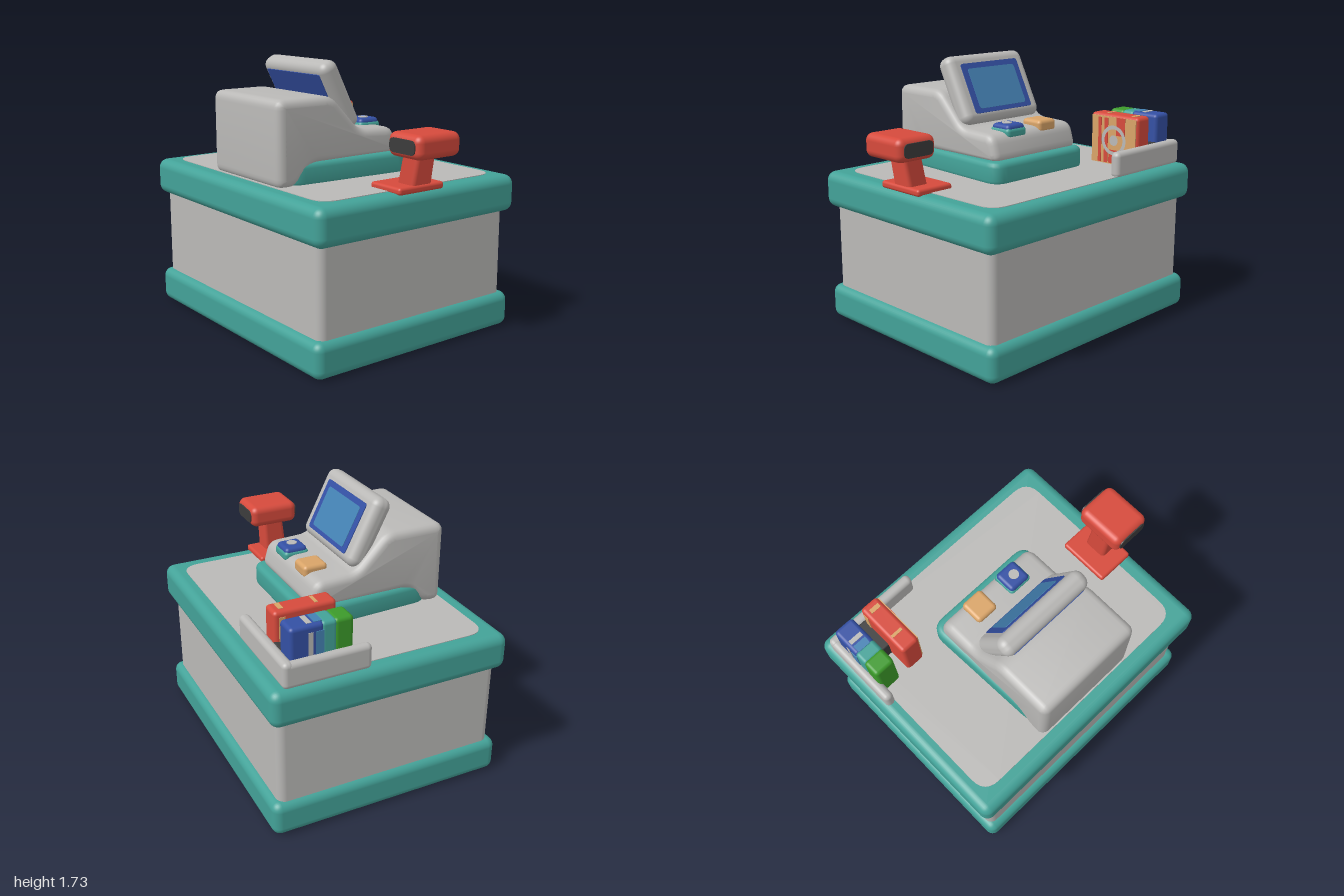
import * as THREE from 'three';
import { toCreasedNormals } from 'three/addons/utils/BufferGeometryUtils.js';
import { RoundedBoxGeometry } from 'three/addons/geometries/RoundedBoxGeometry.js';

const paint = (name, color) => {
  const m = new THREE.MeshStandardMaterial({ color });
  m.name = name;
  return m;
};

export function createModel() {
  const teal = paint('teal', 0x43a298);
  const grey = paint('grey', 0xbab9b7);
  const red = paint('red', 0xd64a3c);
  const green = paint('green', 0x3c9a2a);
  const navy = paint('navy', 0x3450a4);
  const sky = paint('sky blue', 0x4482b4);
  const tan = paint('tan', 0xd9a468);
  const dark = paint('charcoal', 0x3c3c3c);

  const model = new THREE.Group();
  model.name = 'checkoutCounter';

  const group = (name) => {
    const g = new THREE.Group();
    g.name = name;
    model.add(g);
    return g;
  };
  const add = (parent, name, geo, mat, pos = [0, 0, 0]) => {
    const m = new THREE.Mesh(geo, mat);
    m.name = name;
    m.position.set(...pos);
    parent.add(m);
    return m;
  };
  // Rounded block given by its extents on each axis
  const block = (parent, name, mat, [x0, x1], [y0, y1], [z0, z1], r) =>
    add(parent, name, new RoundedBoxGeometry(x1 - x0, y1 - y0, z1 - z0, 4, r), mat,
      [(x0 + x1) / 2, (y0 + y1) / 2, (z0 + z1) / 2]);

  // Polygon with every corner rounded by r
  const roundedShape = (pts, r) => {
    const s = new THREE.Shape();
    const v = pts.map((p) => new THREE.Vector2(...p));
    v.forEach((p, i) => {
      const toward = (q) => {
        const d = q.clone().sub(p);
        return p.clone().add(d.setLength(Math.min(r, d.length() * 0.45)));
      };
      const a = toward(v[(i + v.length - 1) % v.length]);
      const b = toward(v[(i + 1) % v.length]);
      if (i === 0) s.moveTo(a.x, a.y); else s.lineTo(a.x, a.y);
      s.quadraticCurveTo(p.x, p.y, b.x, b.y);
    });
    s.closePath();
    return s;
  };
  // Extrusion centred on its depth; the bevel stays inside the outline
  const slab = (shape, depth, bevel = 0) => {
    const geo = new THREE.ExtrudeGeometry(shape, {
      depth: depth - 2 * bevel, curveSegments: 6, bevelEnabled: bevel > 0,
      bevelThickness: bevel, bevelSize: bevel, bevelOffset: -bevel, bevelSegments: 4,
    });
    geo.translate(0, 0, bevel - depth / 2);
    return toCreasedNormals(geo, 0.75);
  };
  const rect = (w, h, r) => roundedShape(
    [[-w / 2, -h / 2], [w / 2, -h / 2], [w / 2, h / 2], [-w / 2, h / 2]], r);

  // Counter
  const counter = group('counter');
  block(counter, 'plinth', teal, [-0.98, 0.865], [0, 0.225], [-0.77, 0.775], 0.055);
  block(counter, 'cabinet', grey, [-0.945, 0.825], [0.15, 0.85], [-0.725, 0.73], 0.05);
  block(counter, 'worktop', teal, [-1, 0.88], [0.765, 1], [-0.775, 0.775], 0.06);
  add(counter, 'worktopInset', slab(rect(1.67, 1.345, 0.12), 0.008).rotateX(-Math.PI / 2), grey,
    [-0.07, 1, -0.0075]);

  // Register foot, tapering toward the front
  const register = group('register');
  const foot = roundedShape([[-0.40, -0.57], [0.333, -0.57], [0.385, 0.315], [-0.44, 0.315]], 0.1);
  add(register, 'registerFoot', slab(foot, 0.15, 0.035).rotateX(-Math.PI / 2), teal, [0, 1.06, 0]);

  // Register shell: side profile as [z, y]
  const profile = roundedShape([
    [0.66, 0.99], [0.66, 1.52], [0.26, 1.52], [0.05, 1.3],
    [-0.22, 1.29], [-0.27, 1.12], [0.42, 1.12], [0.54, 0.99],
  ], 0.06);
  add(register, 'registerShell', slab(profile, 0.75, 0.05).rotateY(-Math.PI / 2), grey, [-0.035, 0, 0]);

  // Tilted screen
  const screen = new THREE.Group();
  screen.name = 'screen';
  screen.position.set(-0.0275, 1.511, 0.168);
  screen.rotation.x = 0.464;
  register.add(screen);
  add(screen, 'screenCase', new RoundedBoxGeometry(0.665, 0.46, 0.13, 5, 0.055), grey);
  add(screen, 'screenBorder', slab(rect(0.5, 0.335, 0.02), 0.008), navy, [0, -0.01, -0.066]);
  add(screen, 'screenGlass', slab(rect(0.41, 0.27, 0.02), 0.008), sky, [0, -0.015, -0.069]);
  add(screen, 'screenRearPanel', slab(rect(0.56, 0.3, 0.01), 0.008), navy, [0, 0.027, 0.066]);

  // Keys
  block(register, 'tanKey', tan, [-0.245, -0.09], [1.25, 1.33], [-0.225, -0.065], 0.025);
  block(register, 'blueKeyRim', teal, [0.028, 0.197], [1.25, 1.315], [-0.228, -0.062], 0.025);
  block(register, 'blueKey', navy, [0.036, 0.189], [1.25, 1.335], [-0.22, -0.07], 0.025);
  add(register, 'keyDot', new THREE.CylinderGeometry(0.033, 0.033, 0.008, 20), grey, [0.122, 1.335, -0.142]);

  // Scanner
  const scanner = group('scanner');
  block(scanner, 'scannerBase', red, [0.6, 0.865], [0.99, 1.035], [-0.16, 0.19], 0.018);
  const stem = new RoundedBoxGeometry(0.14, 0.26, 0.15, 4, 0.025);
  const p = stem.attributes.position;
  for (let i = 0; i < p.count; i++) {
    p.setX(i, p.getX(i) + p.getY(i) * 0.2);
    p.setZ(i, p.getZ(i) * (1 - p.getY(i) * 0.5));
  }
  add(scanner, 'scannerStem', stem, red, [0.802, 1.12, 0.005]);
  block(scanner, 'scannerHead', red, [0.72, 1], [1.205, 1.35], [-0.165, 0.17], 0.045);
  for (const z of [-0.166, 0.171])
    add(scanner, 'scannerWindow', slab(rect(0.215, 0.085, 0.035), 0.009), dark, [0.858, 1.277, z]);

  // Corner rack
  const rack = group('rack');
  block(rack, 'rackBackRail', grey, [-0.965, -0.31], [0.99, 1.155], [-0.69, -0.622], 0.03);
  block(rack, 'rackSideRail', grey, [-0.965, -0.9], [0.99, 1.15], [-0.69, -0.14], 0.03);
  block(rack, 'rackDivider', dark, [-0.8, -0.69], [0.99, 1.15], [-0.63, -0.4], 0.01);

  // Striped packet: bands along its length
  const packetA = group('blueGreenPacket');
  const bands = [[green, -0.36, -0.24], [teal, -0.44, -0.34], [navy, -0.63, -0.42]];
  for (const [mat, z0, z1] of bands)
    block(packetA, 'packetBand', mat, [-0.92, -0.778], [0.99, 1.335], [z0, z1], 0.025);
  for (const [mat, z, d] of [[sky, -0.45, 0.05], [grey, -0.505, 0.03]]) {
    add(packetA, 'packetTopPatch', new THREE.BoxGeometry(0.09, 0.006, d), mat, [-0.85, 1.335, z]);
    add(packetA, 'packetSidePatch', new THREE.BoxGeometry(0.006, 0.2, d), mat, [-0.92, 1.19, z]);
  }

  // Red packet with tan panels and a ring on the outer side
  const packetB = group('redPacket');
  block(packetB, 'packetBody', red, [-0.71, -0.58], [0.99, 1.335], [-0.63, -0.24], 0.025);
  const sidePlate = (name, mat, x, z0, z1, y0, y1) =>
    add(packetB, name, new THREE.BoxGeometry(0.008, y1 - y0, z1 - z0), mat, [x, (y0 + y1) / 2, (z0 + z1) / 2]);
  sidePlate('packetPanel', tan, -0.58, -0.615, -0.255, 1, 1.32);
  for (const [z0, z1, y0, y1] of [[-0.335, -0.31, 1.01, 1.31], [-0.39, -0.36, 1.01, 1.31],
    [-0.53, -0.46, 1.2, 1.32], [-0.47, -0.4, 1.01, 1.1]])
    sidePlate('packetStripe', red, -0.577, z0, z1, y0, y1);
  const ring = new THREE.RingGeometry(0.075, 0.1, 28).rotateY(Math.PI / 2);
  add(packetB, 'packetRing', ring, grey, [-0.572, 1.165, -0.44]);
  const dot = new THREE.CircleGeometry(0.035, 20).rotateY(Math.PI / 2);
  add(packetB, 'packetRingDot', dot, grey, [-0.572, 1.165, -0.44]);
  sidePlate('packetInnerStripe', tan, -0.71, -0.6, -0.56, 1.08, 1.3);
  add(packetB, 'packetTopPatch', new THREE.BoxGeometry(0.07, 0.006, 0.03), tan, [-0.64, 1.335, -0.57]);
  add(packetB, 'packetTopPatch', new THREE.BoxGeometry(0.08, 0.006, 0.02), tan, [-0.65, 1.335, -0.36]);

  return model;
}
